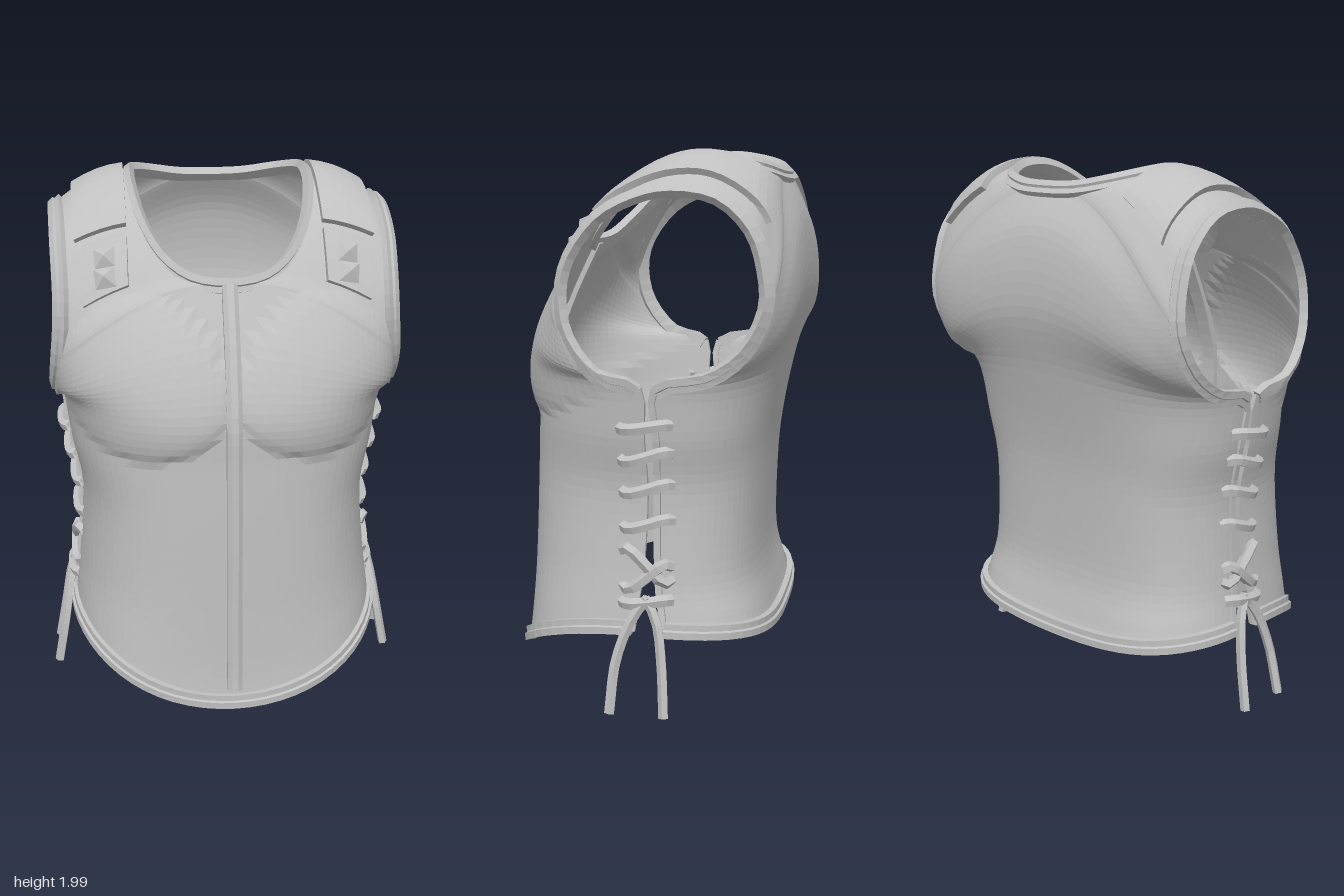
import * as THREE from 'three';

const metal = new THREE.MeshStandardMaterial({ color: 0xc0c0c0, flatShading: true, side: THREE.DoubleSide });
metal.name = 'grey';

// Half-shell rows from front hem, over the shoulder, to back hem.
// Each: inner edge x, y, z, outer edge x, y, z, bulge.
const frontRows = [
  [0, .06, .52, .60, .30, .00, .07],
  [0, .20, .505, .59, .38, -.01, .07],
  [0, .45, .495, .57, .55, -.03, .06],
  [0, .80, .485, .555, .80, -.04, .055],
  [0, 1.02, .475, .59, 1.00, -.035, .045],
  [0, 1.20, .465, .615, 1.19, -.03, .04],
  [0, 1.42, .395, .635, 1.24, .11, .04],
  [0, 1.66, .28, .625, 1.36, .21, .04],
  [.13, 1.675, .25, .61, 1.50, .24, .01],
  [.23, 1.745, .19, .605, 1.63, .21, 0],
  [.295, 1.85, .09, .61, 1.76, .11, .015],
  [.325, 1.94, -.05, .615, 1.83, -.02, .01],
  [.33, 1.975, -.17, .62, 1.855, -.15, 0],
];
const backRows = [
  [.32, 1.97, -.28, .625, 1.83, -.30, 0],
  [.25, 1.945, -.39, .625, 1.73, -.41, -.015],
  [.13, 1.92, -.44, .625, 1.60, -.455, -.03],
  [0, 1.915, -.45, .63, 1.47, -.46, -.055],
  [0, 1.75, -.53, .635, 1.33, -.39, -.05],
  [0, 1.50, -.55, .635, 1.24, -.27, -.055],
  [0, 1.25, -.49, .615, 1.19, -.09, -.055],
  [0, 1.00, -.44, .59, 1.00, -.09, -.05],
  [0, .80, -.42, .555, .80, -.085, -.05],
  [0, .50, -.415, .57, .50, -.09, -.05],
  [0, .33, -.445, .59, .36, -.11, -.06],
  [0, .25, -.47, .605, .30, -.12, -.06],
];
const rows = [...frontRows, ...backRows];
const LAST = rows.length - 1, NECK = [7, 16], ARM = [5, 19], EDGE = Math.PI / 2;
const V = (x, y, z) => new THREE.Vector3(x, y, z);

// Smooth interpolation between rows; the inner edge turns a corner at the neck ends
function rowAt(t) {
  const i = THREE.MathUtils.clamp(Math.floor(t), 0, LAST - 1), f = t - i;
  const [n0, n1] = NECK, inNeck = i >= n0 && i < n1;
  const value = (j, k) => {
    let sign = 1;
    if (k < 3) {
      if (inNeck && (j < n0 || j > n1)) { // mirrored continuation across x = 0
        j = 2 * (j < n0 ? n0 : n1) - j;
        if (k === 0) sign = -1;
      } else if (i < n0) j = Math.min(j, n0);
      else if (i >= n1) j = Math.max(j, n1);
    }
    return sign * rows[THREE.MathUtils.clamp(j, 0, LAST)][k];
  };
  return rows[i].map((b, k) => {
    const a = value(i - 1, k), c = value(i + 1, k), d = value(i + 2, k);
    return b + .5 * f * (c - a + f * (2 * a - 5 * b + 4 * c - d + f * (3 * (b - c) + d - a)));
  });
}

// Point on the half shell; angle runs from the inner to the outer edge
function shellPoint(t, angle) {
  const [xi, yi, zi, xo, yo, zo, b] = rowAt(t);
  const s = Math.sin(angle), c = Math.cos(angle);
  const p = V(xi + (xo - xi) * s, yo + (yi - yo) * c * c, zo + (zi - zo) * c + b * 2.6 * s * s * c);
  if (t < 12) { // chest cup, with a crisp lower edge
    const dx = (p.x - .32) / .31, dy = (p.y - 1.26) / (p.y < 1.26 ? .22 : .36);
    p.z += .045 * Math.max(0, 1 - dx * dx - dy * dy) ** .6;
  }
  return p;
}

function shellAtX(t, x) {
  const r = rowAt(t);
  return shellPoint(t, Math.asin(THREE.MathUtils.clamp((x - r[0]) / (r[3] - r[0]), 0, 1)));
}

function shellNormal(t, x) {
  const dx = shellAtX(t, x + .02).sub(shellAtX(t, x - .02));
  const dt = shellAtX(t + .15, x).sub(shellAtX(t - .15, x));
  return dx.cross(dt).normalize();
}

function meshFrom(name, points, index) {
  const g = new THREE.BufferGeometry().setFromPoints(points);
  g.setIndex(index);
  const flat = g.toNonIndexed();
  flat.computeVertexNormals();
  const m = new THREE.Mesh(flat, metal);
  m.name = name;
  return m;
}

// Rectangular grid of points, fn(i, j)
function grid(name, nu, nv, fn) {
  const pts = [], idx = [];
  for (let j = 0; j <= nv; j++) for (let i = 0; i <= nu; i++) {
    pts.push(fn(i, j));
    if (i < nu && j < nv) {
      const a = j * (nu + 1) + i, b = a + nu + 1;
      idx.push(a, a + 1, b, a + 1, b + 1, b);
    }
  }
  return meshFrom(name, pts, idx);
}

// Raised plate following the shell, with a skirt down to it
function plate(name, x0, x1, t0, t1, nu, nv, height) {
  return grid(name, nu + 2, nv + 2, (i, j) => {
    const u = THREE.MathUtils.clamp(i - 1, 0, nu) / nu, v = THREE.MathUtils.clamp(j - 1, 0, nv) / nv;
    const x = x0 + (x1 - x0) * u, t = t0 + (t1 - t0) * v;
    const skirt = i === 0 || j === 0 || i === nu + 2 || j === nv + 2;
    return shellAtX(t, x).addScaledVector(shellNormal(t, x), skirt ? 0 : height);
  });
}

// Profile swept along a path whose outward direction is known
function sweep(name, path, outward, profile) {
  const n = profile.length, last = path.length - 1, pts = [], idx = [];
  path.forEach((p, i) => {
    const T = path[Math.min(i + 1, last)].clone().sub(path[Math.max(i - 1, 0)]).normalize();
    if (p.x < 1e-6 && Math.abs(T.x) > .5) T.set(Math.sign(T.x), 0, 0); // square joint at the mirror plane
    const B = T.clone().cross(outward(p)).normalize(), N = B.clone().cross(T);
    profile.forEach(([u, v], k) => {
      pts.push(p.clone().addScaledVector(B, u).addScaledVector(N, v));
      const a = i * n + k, b = i * n + (k + 1) % n;
      if (i < last) idx.push(a, b, a + n, b, b + n, a + n);
    });
  });
  for (let k = 1; k < n - 1; k++) idx.push(0, k + 1, k, last * n, last * n + k, last * n + k + 1);
  return meshFrom(name, pts, idx);
}

// Stepped rim section: flat band with a bead on the edge side
const rim = side => [[.012, -.012], [.012, .02], [-.014, .02], [-.018, .011], [-.04, .01], [-.04, -.012]]
  .map(([u, v]) => [u * side, v]);
const pathAlong = (n, fn) => Array.from({ length: n + 1 }, (_, i) => fn(i / n));

function makeHalf() {
  const half = new THREE.Group();
  half.add(grid('shell', 24, LAST * 6, (i, j) => shellPoint(j / 6, i / 24 * EDGE)));

  // Rims
  const edge = (a, b, n, angle) => pathAlong(n, f => shellPoint(a + (b - a) * f, angle));
  half.add(sweep('neckRim', edge(...NECK, 27, 0), p => V(p.x, p.y - 1.5, p.z + .08), rim(-1)));
  half.add(sweep('armholeRim', edge(...ARM, 42, EDGE),
    p => V(p.x - .25, Math.max(0, p.y - 1.5), p.z + .1), rim(1)));
  const hem = t => pathAlong(16, f => shellPoint(t, f * EDGE));
  half.add(sweep('frontHemRim', hem(0), p => V(p.x, 0, p.z), rim(1)));
  half.add(sweep('backHemRim', hem(LAST), p => V(p.x, 0, p.z), rim(-1)));
  const band = [[-.012, -.008], [.012, -.008], [.012, .01], [-.012, .01]];
  half.add(sweep('frontSideEdge', edge(0, ARM[0], 15, EDGE), () => V(1, 0, 0), band));
  half.add(sweep('backSideEdge', edge(ARM[1], LAST, 15, EDGE), () => V(1, 0, 0), band));

  // Shoulder strap, buckle plate and studs
  half.add(plate('shoulderStrap', .355, .54, 9.85, 14.6, 4, 16, .025));
  half.add(plate('bucklePlate', .355, .515, 8.1, 9.65, 3, 4, .022));
  for (const t of [8.6, 9.15]) {
    const n = shellNormal(t, .435);
    const stud = new THREE.Mesh(new THREE.ConeGeometry(.055, .03, 4).rotateY(Math.PI / 4), metal);
    stud.name = 'buckleStud';
    stud.quaternion.setFromUnitVectors(V(0, 1, 0), n);
    stud.position.copy(shellAtX(t, .435)).addScaledVector(n, .035);
    half.add(stud);
  }

  // Side laces: height, body half width, rise from front to back
  const tube = (name, pts, r) => {
    const m = new THREE.Mesh(new THREE.TubeGeometry(new THREE.CatmullRomCurve3(pts), 8, r, 5), metal);
    m.name = name;
    half.add(m);
  };
  for (const [y, x, rise] of [[1.05, .6, .01], [.94, .58, .02], [.82, .56, .02], [.69, .555, .02],
    [.54, .565, -.06], [.5, .57, .05], [.41, .585, .01]]) {
    tube('sideLace', [V(x - .008, y - rise * .8, .042), V(x + .014, y - rise, .015), V(x + .022, y, -.055),
      V(x + .014, y + rise, -.115), V(x - .008, y + rise * .8, -.142)], .022);
  }
  tube('laceEndFront', [V(.6, .43, -.06), V(.62, .35, -.005), V(.645, .2, .048), V(.68, .012, .065)], .019);
  tube('laceEndBack', [V(.6, .43, -.05), V(.62, .35, -.095), V(.645, .2, -.12), V(.68, .012, -.135)], .019);
  return half;
}

export function createModel() {
  const model = new THREE.Group();
  model.name = 'bodyArmour';
  const left = makeHalf(), right = left.clone();
  left.name = 'leftHalf';
  right.name = 'rightHalf';
  right.scale.x = -1;
  model.add(left, right);

  // Centre ridge down the front
  const ridge = pathAlong(24, f => shellPoint(.55 + 6.4 * f, 0));
  model.add(sweep('centreRidge', ridge, () => V(0, 0, 1),
    [[-.03, -.02], [.03, -.02], [.028, .014], [.012, .026], [-.012, .026], [-.028, .014]]));
  return model;
}
